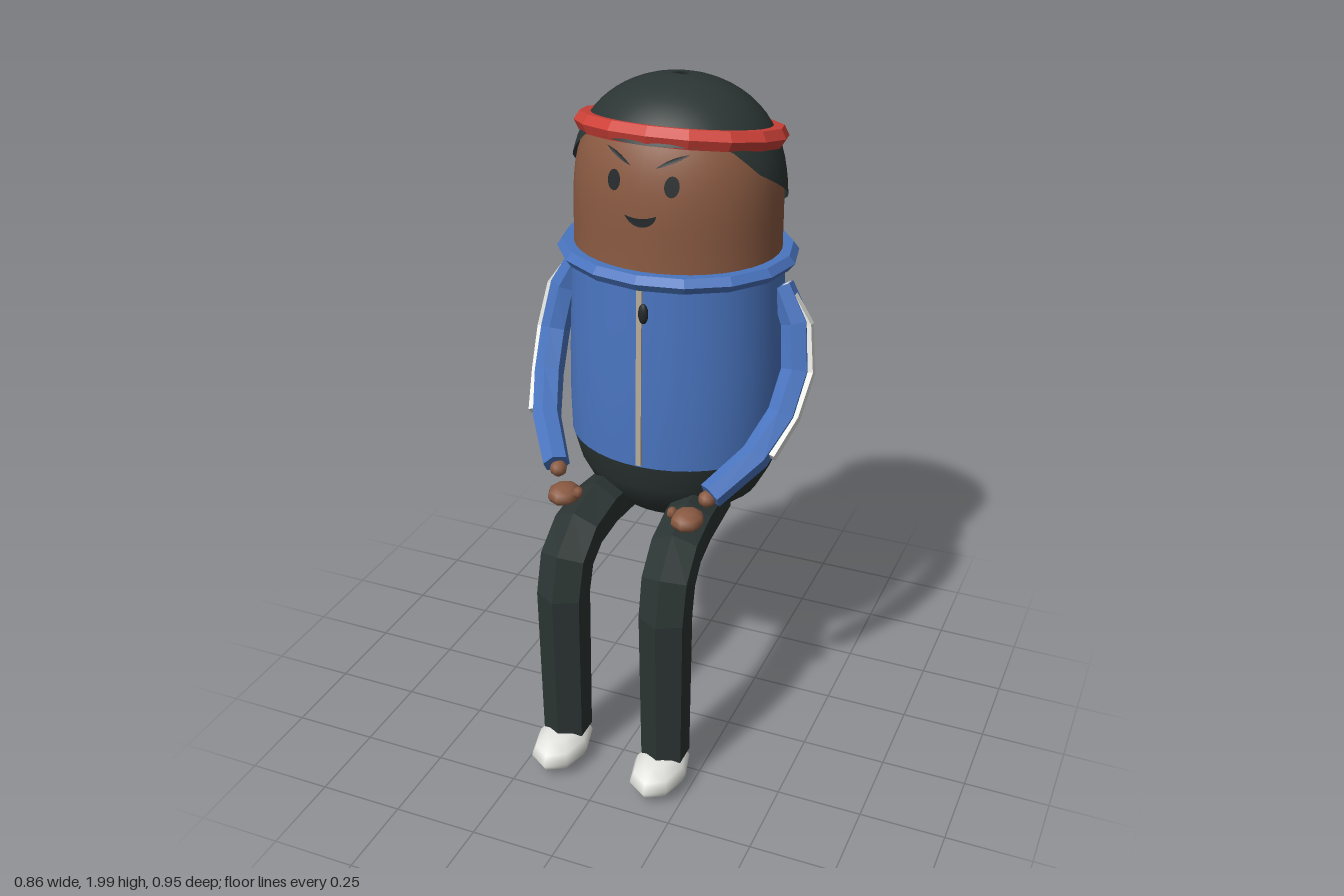
import * as THREE from 'three';
import { ParametricGeometry } from 'three/addons/geometries/ParametricGeometry.js';

const CZ = -0.167, SZ = 0.89; // body axis and front-to-back squash

export function createModel() {
  const model = new THREE.Group();
  model.name = 'seatedFigure';
  const mat = (name, color, side = THREE.FrontSide) => {
    const m = new THREE.MeshStandardMaterial({ color, side });
    m.name = name;
    return m;
  };
  const blue = mat('jacketBlue', 0x4a75c0);
  const skin = mat('skinBrown', 0x8a5a42);
  const dark = mat('trouserAndHairDark', 0x2b3533, THREE.DoubleSide);
  const red = mat('headbandRed', 0xcf4238);
  const white = mat('shoeWhite', 0xe4e4e0);
  const tan = mat('zipTan', 0xb8ad9c);
  const ink = mat('faceInk', 0x23282a, THREE.DoubleSide);

  const add = (name, geo, material, x = 0, y = 0, z = 0) => {
    const m = new THREE.Mesh(geo, material);
    m.name = name;
    m.position.set(x, y, z);
    model.add(m);
    return m;
  };
  const facet = (geo) => {
    const g = geo.index ? geo.toNonIndexed() : geo;
    g.computeVertexNormals();
    return g;
  };
  const turned = (pts) =>
    new THREE.LatheGeometry(pts.map(([r, y]) => new THREE.Vector2(r, y)), 40).scale(1, 1, SZ);
  const ball = (rx, ry, rz, w = 8, h = 6) => new THREE.SphereGeometry(1, w, h).scale(rx, ry, rz);

  // Dome radius at height y, shared by the head and the hair
  const dome = (y, r, top) => r * Math.sqrt(Math.max(0, 1 - Math.max(0, (y - 1.6) / (top - 1.6)) ** 3));
  const headR = (y) => dome(y, 0.3, 1.99);
  const faceZ = (x, y) => CZ + SZ * Math.sqrt(Math.max(0, headR(y) ** 2 - x * x));

  // Faceted tube with closed ends along [x, y, z, radius] points
  const sweep = (path, sides, turn = 0, flat = 1) => {
    const pts = path.map((p) => new THREE.Vector3(p[0], p[1], p[2]));
    const pos = [], idx = [], n = pts.length;
    pts.forEach((p, i) => {
      const t = pts[Math.min(i + 1, n - 1)].clone().sub(pts[Math.max(i - 1, 0)]).normalize();
      const s = new THREE.Vector3(1, 0, 0).addScaledVector(t, -t.x).normalize();
      const u = t.clone().cross(s);
      for (let k = 0; k < sides; k++) {
        const a = turn + (k / sides) * Math.PI * 2;
        const q = p.clone().addScaledVector(s, Math.cos(a) * path[i][3] * flat)
          .addScaledVector(u, Math.sin(a) * path[i][3]);
        pos.push(q.x, q.y, q.z);
      }
    });
    for (let i = 0; i < n - 1; i++) {
      for (let k = 0; k < sides; k++) {
        const a = i * sides + k, b = i * sides + (k + 1) % sides;
        idx.push(a, b, a + sides, b, b + sides, a + sides);
      }
    }
    const e = (n - 1) * sides;
    for (let k = 1; k < sides - 1; k++) idx.push(0, k + 1, k, e, e + k, e + k + 1);
    const g = new THREE.BufferGeometry();
    g.setAttribute('position', new THREE.Float32BufferAttribute(pos, 3));
    g.setIndex(idx);
    return facet(g);
  };

  // Thin face detail laid on the head surface
  const decal = (name, shape) => {
    const g = new THREE.ShapeGeometry(shape, 8), p = g.attributes.position;
    for (let i = 0; i < p.count; i++) p.setZ(i, faceZ(p.getX(i), p.getY(i)) + 0.007);
    g.computeVertexNormals();
    add(name, g, ink);
  };

  // Body
  add('hips', turned([[0, 0.65], [0.06, 0.658], [0.12, 0.682], [0.18, 0.715], [0.255, 0.775],
    [0.295, 0.85], [0.317, 0.93]]), dark, 0, 0, CZ);
  add('jacket', turned([[0.318, 0.93], [0.321, 1.05], [0.319, 1.2], [0.313, 1.35], [0.306, 1.51]]), blue, 0, 0, CZ);
  const headPts = [[0.303, 1.48]];
  for (let i = 0; i <= 16; i++) {
    const y = 1.55 + 0.44 * (1 - (1 - i / 16) ** 2);
    headPts.push([headR(y), y]);
  }
  add('head', turned(headPts), skin, 0, 0, CZ);

  // Collar ring and tilted headband
  const ring = (r, tube, sy, sz) =>
    facet(new THREE.TorusGeometry(r, tube, 6, 16).rotateX(Math.PI / 2).scale(1, sy, sz));
  add('collar', ring(0.316, 0.034, 0.75, SZ), blue, 0, 1.503, CZ);
  add('headband', ring(0.272, 0.032, 0.95, 0.86), red, 0, 1.846, -0.187).rotation.x = -0.175;

  // Hair cap: its lower edge sweeps from the brow down to the nape
  const hairEdge = (c) => {
    const z = CZ + c * 0.275;
    if (z > 0.02) return 1.865;
    if (z > -0.06) return 1.78 + (z + 0.06) * 1.06;
    return z > -0.25 ? 1.67 + (z + 0.25) * 0.58 : 1.56 + (z + 0.442) * 0.57;
  };
  add('hair', new ParametricGeometry((u, v, out) => {
    const a = u * Math.PI * 2 + Math.PI, low = hairEdge(Math.cos(a));
    const y = low + (2 - low) * (1 - (1 - v) ** 2);
    const r = Math.max(0.001, dome(y, 0.311, 2.0));
    out.set(Math.sin(a) * r, y, Math.cos(a) * r * SZ);
  }, 48, 16), dark, 0, 0, CZ);

  // Zip and its pull
  add('zip', new THREE.BoxGeometry(0.016, 0.54, 0.012), tan, 0, 1.21, 0.115).rotation.x = -0.024;
  add('zipPull', ball(0.015, 0.03, 0.012, 10, 8), ink, 0.014, 1.41, 0.118);

  // Mouth
  const mouth = new THREE.Shape();
  mouth.moveTo(-0.046, 1.682);
  mouth.quadraticCurveTo(0, 1.668, 0.046, 1.688);
  mouth.quadraticCurveTo(0.04, 1.655, 0, 1.653);
  mouth.quadraticCurveTo(-0.03, 1.655, -0.046, 1.682);
  decal('mouth', mouth);

  for (const s of [1, -1]) {
    const side = s > 0 ? 'left' : 'right';
    const flip = (pts) => pts.map(([x, ...rest]) => [x * s, ...rest]);

    // Eye and brow
    const eye = new THREE.Shape();
    eye.absellipse(s * 0.083, 1.768, 0.02, 0.028, 0, Math.PI * 2);
    decal(side + 'Eye', eye);
    const brow = new THREE.Shape();
    brow.moveTo(s * 0.035, 1.812);
    brow.quadraticCurveTo(s * 0.08, 1.822, s * 0.118, 1.848);
    brow.quadraticCurveTo(s * 0.075, 1.844, s * 0.035, 1.812);
    decal(side + 'Brow', brow);

    // Sleeve with its outer stripe
    add(side + 'Sleeve', sweep(flip([[0.31, 1.43, -0.177, 0.036], [0.36, 1.33, -0.165, 0.043],
      [0.378, 1.2, -0.13, 0.044], [0.366, 1.09, -0.055, 0.044], [0.325, 1, 0.05, 0.043],
      [0.238, 0.918, 0.17, 0.04]]), 6, Math.PI / 2), blue);
    add(side + 'SleeveStripe', sweep(flip([[0.325, 1.44, -0.175, 0.018], [0.4, 1.33, -0.163, 0.02],
      [0.421, 1.2, -0.13, 0.02], [0.407, 1.09, -0.055, 0.02], [0.372, 1.005, 0.045, 0.02]]),
    4, Math.PI / 4, 0.75), white);

    // Hand, thumb and wrist
    add(side + 'Wrist', ball(0.026, 0.024, 0.026), skin, s * 0.23, 0.908, 0.175);
    add(side + 'Hand', ball(0.048, 0.03, 0.055), skin, s * 0.19, 0.858, 0.222);
    add(side + 'Thumb', ball(0.015, 0.017, 0.02, 6, 4), skin, s * 0.145, 0.872, 0.225);

    // Bent leg, ankle and shoe
    add(side + 'Leg', sweep(flip([[0.13, 0.755, -0.12, 0.075], [0.146, 0.763, 0.1, 0.078],
      [0.153, 0.74, 0.21, 0.078], [0.158, 0.68, 0.28, 0.078], [0.16, 0.58, 0.306, 0.077],
      [0.16, 0.095, 0.303, 0.072]]), 6, Math.PI / 2), dark);
    add(side + 'Ankle', new THREE.CylinderGeometry(0.05, 0.05, 0.05, 8), skin, s * 0.16, 0.09, 0.29);
    add(side + 'Shoe', ball(0.082, 0.054, 0.13, 8, 6), white, s * 0.16, 0.06, 0.345);
  }
  return model;
}
